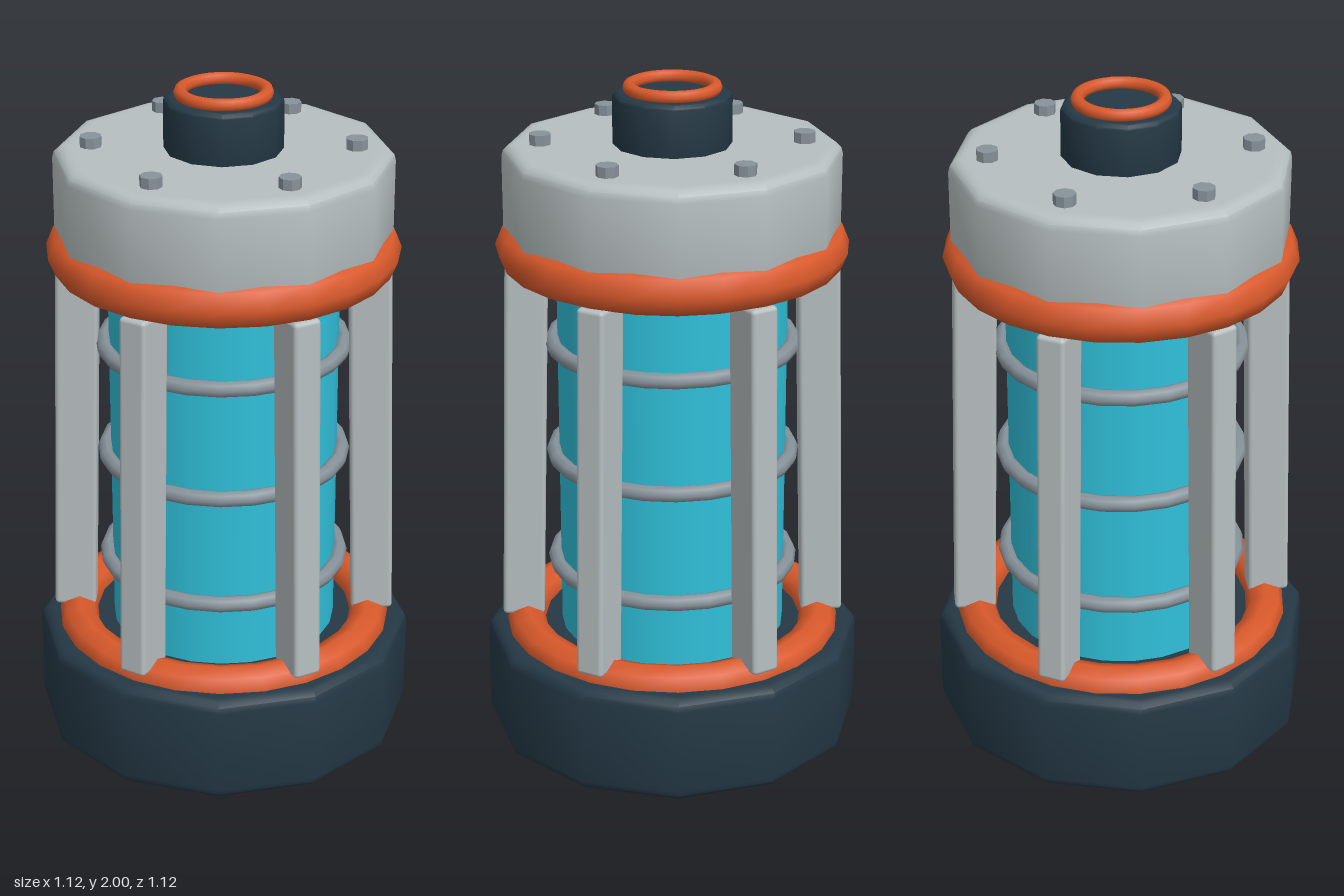
import * as THREE from 'three';
import { toCreasedNormals } from 'three/addons/utils/BufferGeometryUtils.js';
import { RoundedBoxGeometry } from 'three/addons/geometries/RoundedBoxGeometry.js';

const material = (name, color) => {
  const m = new THREE.MeshStandardMaterial({ color });
  m.name = name;
  return m;
};

// Twelve-sided drum with rounded top and bottom rims
function drumGeometry(radius, y0, y1, bevel) {
  const pts = [[0, y0], [radius - bevel * 1.5, y0]];
  for (let i = 0; i <= 3; i++) {
    const a = (i / 3) * Math.PI / 2;
    pts.push([radius - bevel + bevel * Math.sin(a), y0 + bevel - bevel * Math.cos(a)]);
  }
  for (let i = 0; i <= 3; i++) {
    const a = (i / 3) * Math.PI / 2;
    pts.push([radius - bevel + bevel * Math.cos(a), y1 - bevel + bevel * Math.sin(a)]);
  }
  pts.push([radius - bevel * 1.5, y1], [0, y1]);
  const lathe = new THREE.LatheGeometry(pts.map(p => new THREE.Vector2(...p)), 12);
  return toCreasedNormals(lathe, 0.6);
}

export function createModel() {
  const group = new THREE.Group();
  const dark = material('dark navy', 0x243845);
  const shell = material('light grey', 0xb6bebf);
  const orange = material('orange', 0xd9592b);
  const glass = material('cyan', 0x30c0da);
  const metal = material('metal grey', 0x87929a);

  const add = (name, geometry, mat, parent = group) => {
    const mesh = new THREE.Mesh(geometry, mat);
    mesh.name = name;
    parent.add(mesh);
    return mesh;
  };
  const addRing = (name, radius, tube, y, mat, sides = 8, segments = 24) => {
    const geo = new THREE.TorusGeometry(radius, tube, sides, segments).rotateX(Math.PI / 2);
    add(name, geo, mat).position.y = y;
  };

  // Base, cap and top knob
  add('base', drumGeometry(0.562, 0, 0.33, 0.035), dark);
  add('cap', drumGeometry(0.485, 1.52, 1.82, 0.035), shell);
  add('knob', drumGeometry(0.17, 1.8, 1.97, 0.015), dark);

  // Orange collars
  addRing('lowerCollar', 0.445, 0.06, 0.325, orange);
  addRing('upperCollar', 0.44, 0.07, 1.525, orange);
  addRing('knobRing', 0.122, 0.019, 1.982, orange, 8, 32);

  // Inner tube and its bands
  add('innerTube', new THREE.CylinderGeometry(0.336, 0.336, 1.24, 24), glass).position.y = 0.92;
  for (const y of [0.54, 0.885, 1.23]) addRing('band', 0.35, 0.024, y, metal);

  // Six leaning struts and cap bolts
  const strutGeo = new RoundedBoxGeometry(0.125, 1.11, 0.086, 2, 0.013);
  const boltGeo = toCreasedNormals(
    new THREE.CylinderGeometry(0.032, 0.032, 0.045, 8), 0.4);
  for (let i = 0; i < 6; i++) {
    const arm = new THREE.Group();
    arm.name = 'strutAndBolt';
    arm.rotation.y = i * Math.PI / 3;
    const strut = add('strut', strutGeo, shell, arm);
    strut.position.set(0.437, 0.91, 0);
    strut.rotation.z = 0.028;
    const bolt = add('bolt', boltGeo, metal, arm);
    bolt.position.set(0.375, 1.828, 0);
    bolt.rotation.y = Math.PI / 8;
    group.add(arm);
  }
  return group;
}
